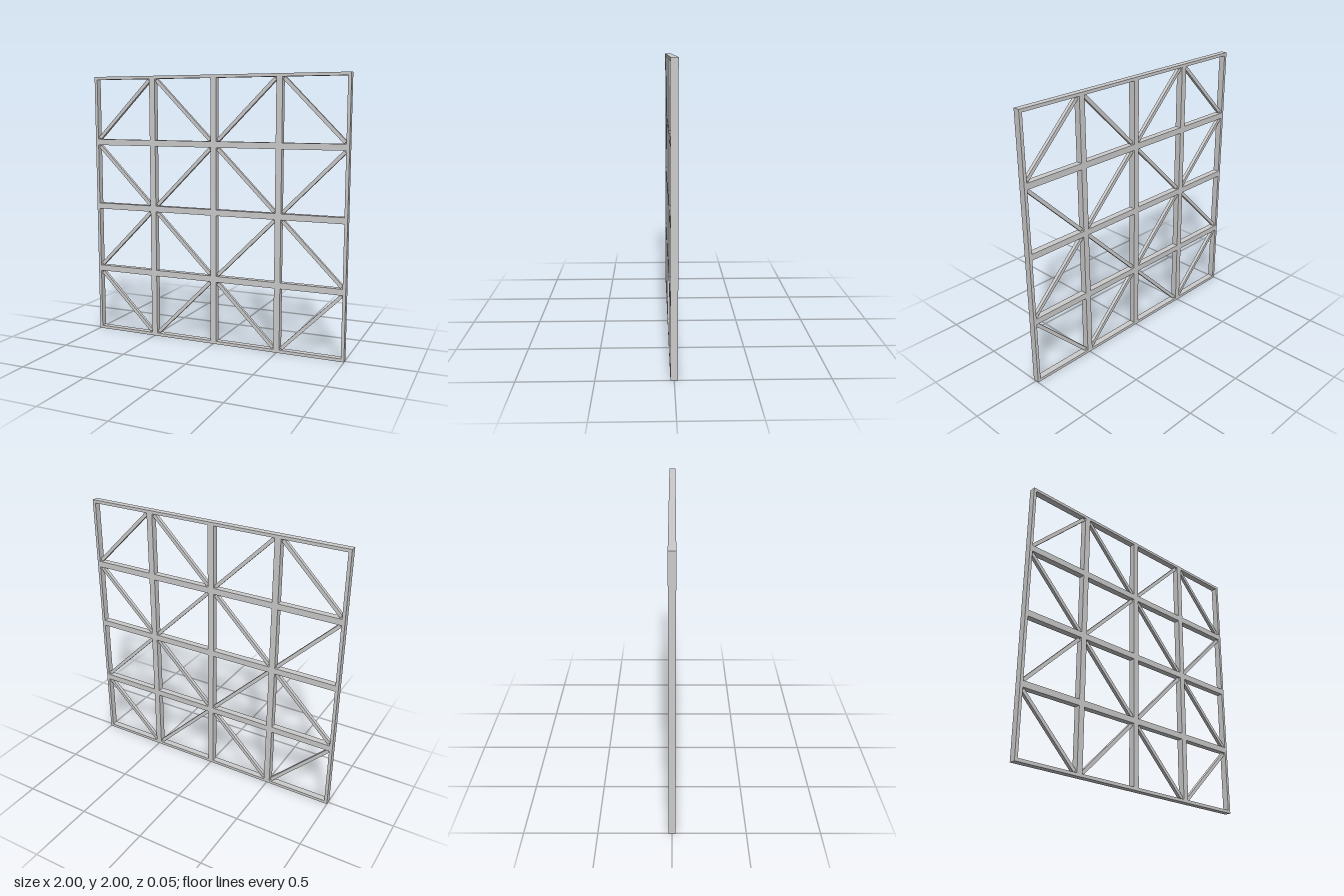
import * as THREE from 'three';

const CELLS = 4, CELL = 0.5;
const RIM = 0.0225;   // frame width around each cell
const DEPTH = 0.048;  // frame thickness
const BRACE = 0.026;  // square diagonal bar

export function createModel() {
  const model = new THREE.Group();
  model.name = 'bracedLattice';
  const material = new THREE.MeshStandardMaterial({ color: 0xcccccc });

  // Square lattice with one opening per cell
  const outline = new THREE.Shape([
    new THREE.Vector2(-1, 0), new THREE.Vector2(1, 0),
    new THREE.Vector2(1, 2), new THREE.Vector2(-1, 2),
  ]);
  const open = CELL / 2 - RIM;
  const braceLength = open * 2 * Math.SQRT2 - BRACE; // ends touch the corner sides
  const braceGeometry = new THREE.BoxGeometry(braceLength, BRACE, BRACE);
  const braces = new THREE.Group();
  braces.name = 'diagonalBraces';

  for (let i = 0; i < CELLS; i++) {
    for (let j = 0; j < CELLS; j++) {
      const x = -1 + (i + 0.5) * CELL, y = (j + 0.5) * CELL;
      outline.holes.push(new THREE.Path([
        new THREE.Vector2(x - open, y - open), new THREE.Vector2(x - open, y + open),
        new THREE.Vector2(x + open, y + open), new THREE.Vector2(x + open, y - open),
      ]));
      // Diagonals alternate direction to form diamonds
      const brace = new THREE.Mesh(braceGeometry, material);
      brace.name = 'diagonalBrace';
      brace.position.set(x, y, 0);
      brace.rotation.z = (i + j) % 2 ? Math.PI / 4 : -Math.PI / 4;
      braces.add(brace);
    }
  }

  const geometry = new THREE.ExtrudeGeometry(outline, { depth: DEPTH, bevelEnabled: false });
  geometry.translate(0, 0, -DEPTH / 2);
  const frame = new THREE.Mesh(geometry, material);
  frame.name = 'latticeFrame';
  model.add(frame, braces);
  return model;
}
